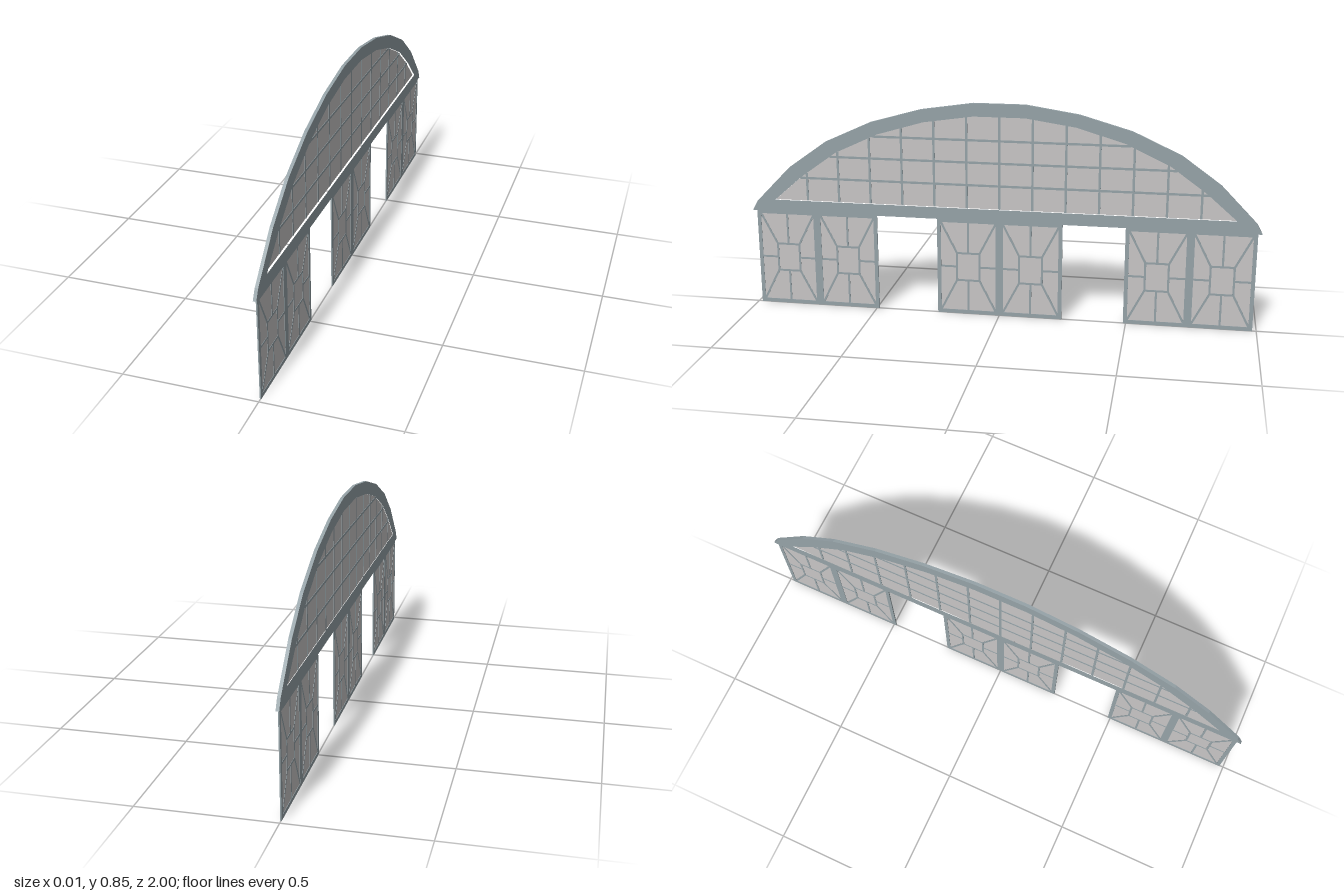
import * as THREE from 'three';

const frameMat = new THREE.MeshStandardMaterial({ color: 0x96a3a8 });
frameMat.name = 'grey blue frame';
const glassMat = new THREE.MeshStandardMaterial({ color: 0xc8c6c6 });
glassMat.name = 'pale grey glass';

// Half profiles of the arch, from the crown down to the eave
const OUTER = [[0.1, 0.853], [0.305, 0.822], [0.505, 0.765], [0.69, 0.68], [0.84, 0.572], [0.98, 0.428], [1, 0.39]];
const INNER = [[0.1, 0.802], [0.295, 0.773], [0.48, 0.718], [0.65, 0.638], [0.79, 0.537], [0.905, 0.437]];
const SILL = 0.437;

const mirrored = (half) =>
  [...half.map(([x, y]) => new THREE.Vector2(-x, y)).reverse(), ...half.map(([x, y]) => new THREE.Vector2(x, y))];

function add(parent, name, geometry, material) {
  const mesh = new THREE.Mesh(geometry, material);
  mesh.name = name;
  parent.add(mesh);
  return mesh;
}

// Plate cut from a shape, lying between two depths
function plate(parent, name, shape, back, front, material) {
  const geometry = new THREE.ExtrudeGeometry(shape, { depth: front - back, bevelEnabled: false });
  geometry.translate(0, 0, back);
  return add(parent, name, geometry, material);
}

// Straight glazing bar between two points
function bar(parent, name, x1, y1, x2, y2, width, depth, z = 0) {
  const mesh = add(parent, name, new THREE.BoxGeometry(Math.hypot(x2 - x1, y2 - y1), width, depth), frameMat);
  mesh.position.set((x1 + x2) / 2, (y1 + y2) / 2, z);
  mesh.rotation.z = Math.atan2(y2 - y1, x2 - x1);
}

// Height of the glazed opening at x, and its half width at height y
function archHeight(x) {
  x = Math.abs(x);
  if (x <= INNER[0][0]) return INNER[0][1];
  const i = INNER.findIndex((p) => p[0] >= x);
  const [a, b] = [INNER[i - 1], INNER[i]];
  return a[1] + (b[1] - a[1]) * (x - a[0]) / (b[0] - a[0]);
}
function archHalfWidth(y) {
  const i = INNER.findIndex((p) => p[1] <= y);
  const [a, b] = [INNER[i - 1], INNER[i]];
  return a[0] + (b[0] - a[0]) * (y - a[1]) / (b[1] - a[1]);
}

function rectangle(Type, w, h, inset = 0) {
  const x = w / 2 - inset, y = h / 2 - inset;
  return new Type([[-x, -y], [x, -y], [x, y], [-x, y]].map(([a, b]) => new THREE.Vector2(a, b)));
}

function createArch() {
  const arch = new THREE.Group();
  arch.name = 'archWindow';
  const rim = new THREE.Shape(mirrored(OUTER));
  rim.holes.push(new THREE.Path(mirrored(INNER)));
  plate(arch, 'archFrame', rim, -0.006, 0.006, frameMat);
  plate(arch, 'archGlass', new THREE.Shape(mirrored(INNER)), -0.004, -0.002, glassMat);
  for (let i = -6; i <= 6; i++) {
    const x = i * 0.1285;
    bar(arch, 'archUpright', x, SILL, x, archHeight(x), 0.009, 0.005, -0.003);
  }
  for (const y of [0.53, 0.62, 0.708]) {
    const x = archHalfWidth(y);
    bar(arch, 'archCrossbar', -x, y, x, y, 0.009, 0.005, -0.003);
  }
  return arch;
}

// One door leaf: border, pane and a small square joined to it by bars
function createLeaf(w, h) {
  const leaf = new THREE.Group();
  leaf.name = 'doorLeaf';
  const border = 0.015, sx = 0.045, sy = 0.056;
  const ex = w / 2 - border, ey = h / 2 - border;
  const rim = rectangle(THREE.Shape, w, h);
  rim.holes.push(rectangle(THREE.Path, w, h, border));
  plate(leaf, 'leafFrame', rim, -0.0025, 0.0025, frameMat);
  plate(leaf, 'leafGlass', rectangle(THREE.Shape, w, h, border), -0.0008, 0.0008, glassMat);
  const rod = (...p) => bar(leaf, 'leafBar', ...p, 0.008, 0.004);
  for (const s of [-1, 1]) {
    rod(-sx, s * sy, sx, s * sy);
    rod(s * sx, -sy, s * sx, sy);
    rod(s * sx, 0, s * ex, 0);
    rod(0, s * sy, 0, s * ey);
    for (const t of [-1, 1]) rod(s * sx, t * sy, s * ex, t * ey);
  }
  return leaf;
}

export function createModel() {
  const model = new THREE.Group();
  model.name = 'archedGlassWall';
  model.add(createArch());
  const w = 0.2475, h = 0.392;
  for (const centre of [-0.737, 0, 0.737]) {
    const doors = new THREE.Group();
    doors.name = 'doubleDoor';
    for (const side of [-1, 1]) {
      const leaf = createLeaf(w, h);
      leaf.position.set(side * w / 2, h / 2, 0);
      doors.add(leaf);
    }
    doors.position.x = centre;
    model.add(doors);
  }
  // The wall runs along z
  model.rotation.y = Math.PI / 2;
  const root = new THREE.Group();
  root.name = 'glassWall';
  root.add(model);
  return root;
}
